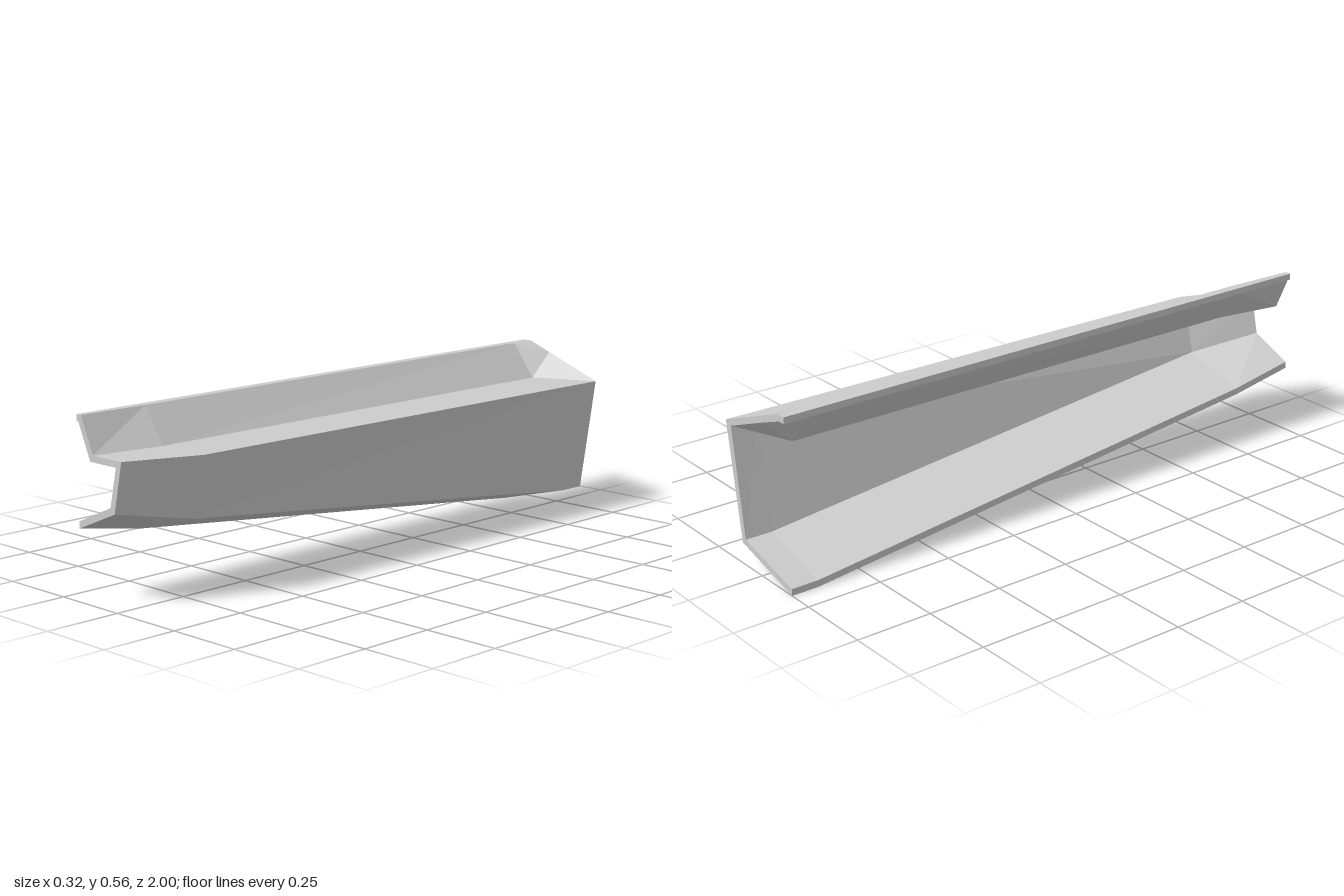
import * as THREE from 'three';

// Each station is an open profile running: rim top, lip, lip corner, gutter floor,
// shoulder, lower corner, bottom edge. Same order for the outer and inner skins.
const E = -0.163;
const stations = [
  { z: 1,
    outer: [[E, 0.562], [-0.142, 0.562], [-0.142, 0.562], [-0.092, 0.45], [0.035, 0.45], [0, 0.292], [E, 0.223]],
    inner: [[E, 0.541], [-0.155, 0.541], [-0.155, 0.541], [-0.105, 0.43], [0.01, 0.43], [-0.018, 0.308], [E, 0.245]] },
  { z: 0.77,
    outer: [[E, 0.562], [-0.132, 0.562], [-0.132, 0.562], [-0.055, 0.45], [0.127, 0.45], [0.077, 0.253], [E, 0.183]],
    inner: [[E, 0.541], [-0.145, 0.541], [-0.145, 0.541], [-0.068, 0.43], [0.102, 0.43], [0.059, 0.269], [E, 0.205]] },
  { z: -0.91,
    outer: [[E, 0.562], [-0.132, 0.562], [-0.132, 0.562], [-0.046, 0.45], [0.158, 0.45], [0.102, 0.07], [E, 0]],
    inner: [[E, 0.541], [-0.145, 0.541], [-0.145, 0.541], [-0.059, 0.43], [0.134, 0.43], [0.084, 0.086], [E, 0.022]] },
  { z: -1,
    outer: [[E, 0.562], [-0.132, 0.562], [-0.047, 0.53], [-0.047, 0.53], [0.161, 0.45], [0.103, 0.07], [E, 0]],
    inner: [[E, 0.541], [-0.137, 0.541], [-0.055, 0.511], [-0.055, 0.511], [0.134, 0.438], [0.085, 0.086], [E, 0.022]] },
];

// Panels whose crease runs along the other diagonal, as "station:panel"
const flipped = new Set(['0:2', '1:2', '1:4']);

function meshFromQuads(name, material, fill) {
  const pos = [];
  const tri = (...pts) => {
    const [a, b, c] = pts.map((p) => new THREE.Vector3(...p));
    const area = b.clone().sub(a).cross(c.clone().sub(a)).length();
    if (area > 1e-8) pts.forEach((p) => pos.push(...p)); // skip collapsed faces
  };
  fill((a, b, c, d, flip) => {
    if (flip) { tri(a, b, d); tri(b, c, d); } else { tri(a, b, c); tri(a, c, d); }
  });
  const geo = new THREE.BufferGeometry();
  geo.setAttribute('position', new THREE.Float32BufferAttribute(pos, 3));
  geo.computeVertexNormals();
  const mesh = new THREE.Mesh(geo, material);
  mesh.name = name;
  return mesh;
}

export function createModel() {
  const group = new THREE.Group();
  group.name = 'foldedChannel';
  const grey = new THREE.MeshStandardMaterial({ color: 0xcccccc, flatShading: true });
  grey.name = 'plain grey';

  const sections = stations.map(({ z, outer, inner }) => ({
    o: outer.map(([x, y]) => [x, y, z]),
    n: inner.map(([x, y]) => [x, y, z]),
  }));
  const last = sections[0].o.length - 1;

  // Visit each pair of neighbouring stations
  const spans = (visit) => {
    for (let s = 0; s < sections.length - 1; s++) visit(sections[s], sections[s + 1], s);
  };

  // Outer folded skin
  group.add(meshFromQuads('outerSkin', grey, (quad) => spans((a, b, s) => {
    for (let i = 0; i < last; i++) {
      quad(a.o[i], a.o[i + 1], b.o[i + 1], b.o[i], flipped.has(`${s}:${i}`));
    }
  })));

  // Inner skin, facing into the hollow
  group.add(meshFromQuads('innerSkin', grey, (quad) => spans((a, b, s) => {
    for (let i = 0; i < last; i++) {
      quad(a.n[i + 1], a.n[i], b.n[i], b.n[i + 1], !flipped.has(`${s}:${i}`));
    }
  })));

  // Thin rims along the open side
  group.add(meshFromQuads('sideRims', grey, (quad) => spans((a, b) => {
    quad(a.n[0], a.o[0], b.o[0], b.n[0]);
    quad(a.o[last], a.n[last], b.n[last], b.o[last]);
  })));

  // Thickness of the sheet at the front and back ends
  group.add(meshFromQuads('endRims', grey, (quad) => {
    const f = sections[0], r = sections[sections.length - 1];
    for (let i = 0; i < last; i++) {
      quad(f.n[i], f.n[i + 1], f.o[i + 1], f.o[i]);
      quad(r.o[i], r.o[i + 1], r.n[i + 1], r.n[i]);
    }
  }));

  return group;
}
